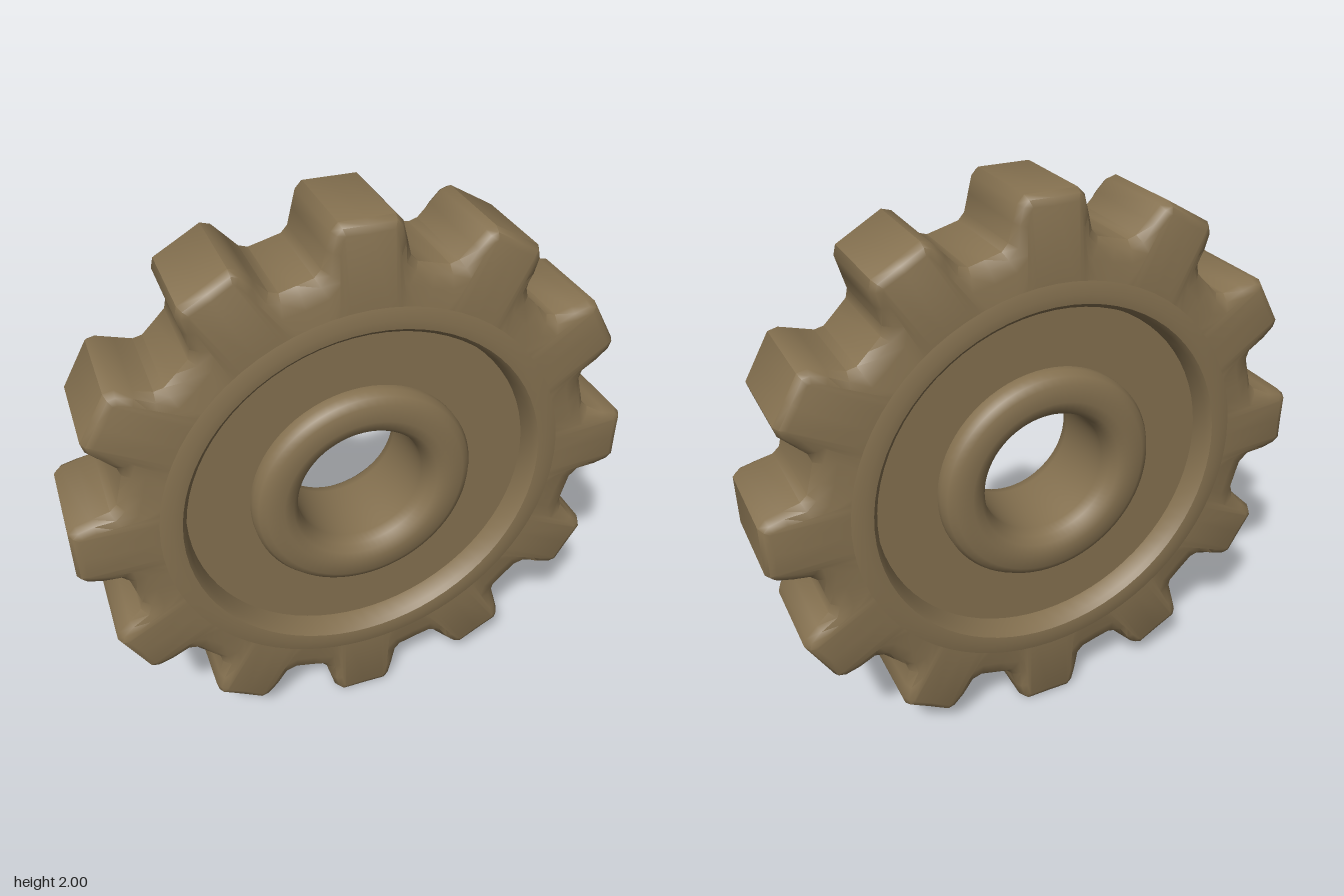
import * as THREE from 'three';
import { toCreasedNormals } from 'three/addons/utils/BufferGeometryUtils.js';

const TEETH = 12;

// Outline of the teeth, anticlockwise: valley, rounded root, flank, rounded tip, mirrored per tooth
function gearOutline() {
  const half = [[0.22, 0.821], [0.165, 0.836], [0.143, 0.86], [0.128, 0.92], [0.114, 0.975], [0.09, 1]];
  const tooth = [...half, [0, 1], ...half.slice(1).reverse().map(([x, y]) => [-x, y])];
  const points = [];
  for (let i = 0; i < TEETH; i++) {
    const a = (i / TEETH) * Math.PI * 2;
    for (const [x, y] of tooth) points.push(new THREE.Vector2(x, y).rotateAround(new THREE.Vector2(), a));
  }
  return points;
}

// Moves the outline inwards; the valleys are scooped out further than the teeth
function inset(points, distance) {
  const n = points.length;
  return points.map((p, i) => {
    const before = p.clone().sub(points[(i + n - 1) % n]).normalize();
    const after = points[(i + 1) % n].clone().sub(p).normalize();
    const tangent = before.add(after).normalize();
    const scoop = p.length() < 0.9 ? 2 : 1;
    return new THREE.Vector2(p.x - tangent.y * distance * scoop, p.y + tangent.x * distance * scoop);
  });
}

// Skin over loops of equal length, from the front face over the edge to the back face
function toothedRing() {
  const outline = gearOutline();
  const circle = outline.map((p) => p.clone().setLength(0.72));
  const front = [
    [circle, 0.21], [inset(outline, 0.035), 0.2], [inset(outline, 0.013), 0.19], [outline, 0.165],
  ];
  const loops = [...front, ...front.map(([loop, z]) => [loop, -z]).reverse()];
  const n = outline.length;
  const positions = [];
  const indices = [];
  loops.forEach(([loop, z], k) => loop.forEach((p, i) => {
    positions.push(p.x, p.y, z);
    if (k === loops.length - 1) return;
    const a = k * n + i;
    const d = k * n + (i + 1) % n;
    indices.push(a, a + n, d + n, a, d + n, d);
  }));
  const geometry = new THREE.BufferGeometry();
  geometry.setAttribute('position', new THREE.Float32BufferAttribute(positions, 3));
  geometry.setIndex(indices);
  return toCreasedNormals(geometry, 0.8);
}

// Turned part about the z axis; the half profile (radius, z) is mirrored front to back
function turned(half) {
  const front = half.map(([r, z]) => new THREE.Vector2(r, z));
  const back = half.map(([r, z]) => new THREE.Vector2(r, -z)).reverse();
  const geometry = new THREE.LatheGeometry([...front, ...back], 72);
  geometry.rotateX(Math.PI / 2);
  return toCreasedNormals(geometry, 0.7);
}

export function createModel() {
  const bronze = new THREE.MeshStandardMaterial({ color: 0x857150 });
  bronze.name = 'dull bronze';

  const gear = new THREE.Group();
  gear.name = 'gear';
  const add = (name, geometry) => {
    const mesh = new THREE.Mesh(geometry, bronze);
    mesh.name = name;
    mesh.position.y = 1;
    gear.add(mesh);
  };

  add('toothedRing', toothedRing());

  // Raised rim, recessed web, rounded hub and bore in one profile
  add('rimWebAndHub', turned([
    [0.722, 0.21], [0.68, 0.22], [0.648, 0.217], [0.632, 0.2], [0.62, 0.137],
    [0.4, 0.137], [0.4, 0.165], [0.386, 0.188], [0.36, 0.202], [0.3, 0.207], [0.265, 0.198],
    [0.243, 0.172], [0.233, 0.13],
  ]));

  return gear;
}
